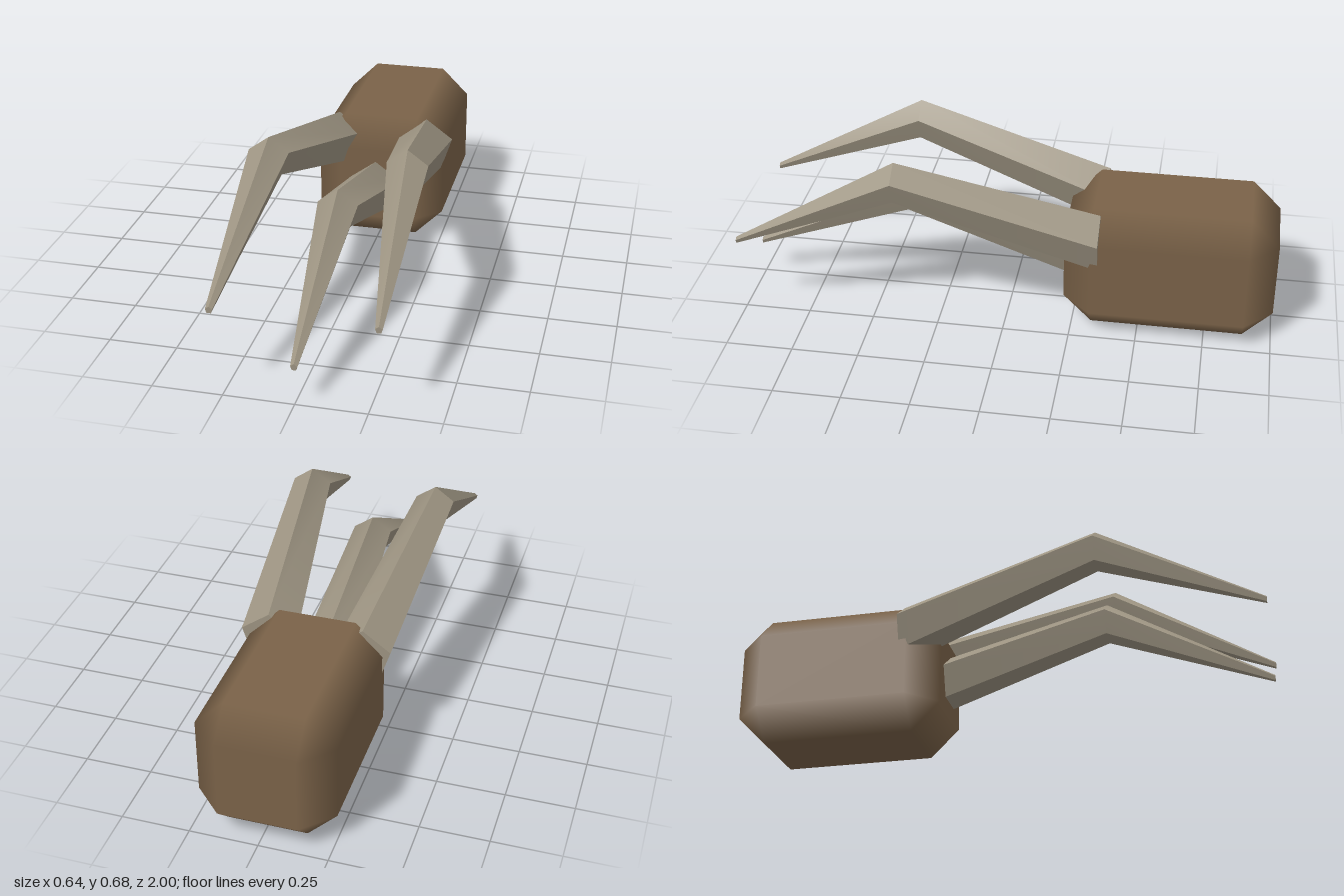
import * as THREE from 'three';
import { toCreasedNormals } from 'three/addons/utils/BufferGeometryUtils.js';

// Box with one-step chamfers; normals stay axial so panels look flat and chamfers blend
function chamferedBox(half, bevel) {
  const positions = [], normals = [];
  const corner = (signs, axis) => {
    const p = new THREE.Vector3(), n = new THREE.Vector3();
    for (let i = 0; i < 3; i++) p.setComponent(i, signs[i] * (half[i] - (i === axis ? 0 : bevel)));
    n.setComponent(axis, signs[axis]);
    return { p, n };
  };
  const triangle = (a, b, c) => {
    const facing = b.p.clone().sub(a.p).cross(c.p.clone().sub(a.p));
    const middle = a.p.clone().add(b.p).add(c.p);
    const order = facing.dot(middle) > 0 ? [a, b, c] : [a, c, b];
    for (const q of order) {
      positions.push(...q.p.toArray());
      normals.push(...q.n.toArray());
    }
  };
  const quad = (a, b, c, d) => { triangle(a, b, c); triangle(a, c, d); };
  const signsFor = (axis, s, t, w) => {
    const signs = [0, 0, 0];
    signs[axis] = s;
    signs[(axis + 1) % 3] = t;
    signs[(axis + 2) % 3] = w;
    return signs;
  };
  for (let axis = 0; axis < 3; axis++) {
    const next = (axis + 1) % 3;
    for (const s of [-1, 1]) {
      // flat panel
      quad(...[[-1, -1], [1, -1], [1, 1], [-1, 1]].map(([t, w]) => corner(signsFor(axis, s, t, w), axis)));
      // chamfers towards the next axis
      for (const t of [-1, 1]) {
        const low = signsFor(axis, s, t, -1), high = signsFor(axis, s, t, 1);
        quad(corner(low, axis), corner(high, axis), corner(high, next), corner(low, next));
      }
    }
  }
  // corner triangles
  for (const x of [-1, 1]) for (const y of [-1, 1]) for (const z of [-1, 1]) {
    triangle(...[0, 1, 2].map((axis) => corner([x, y, z], axis)));
  }
  const geometry = new THREE.BufferGeometry();
  geometry.setAttribute('position', new THREE.Float32BufferAttribute(positions, 3));
  geometry.setAttribute('normal', new THREE.Float32BufferAttribute(normals, 3));
  return geometry;
}

// Five-sided tapering claw through rings of [x, y, z, radius], listed from back to front
function clawGeometry(rings) {
  const sides = 5, positions = [], index = [];
  for (const [x, y, z, r] of rings) {
    for (let k = 0; k < sides; k++) {
      const angle = Math.PI / 2 + (k / sides) * Math.PI * 2;
      positions.push(x + r * Math.cos(angle), y + r * Math.sin(angle), z);
    }
  }
  for (let i = 0; i < rings.length - 1; i++) {
    for (let k = 0; k < sides; k++) {
      const a = i * sides + k, b = i * sides + (k + 1) % sides;
      index.push(a, b, b + sides, a, b + sides, a + sides);
    }
  }
  const last = (rings.length - 1) * sides;
  for (let k = 1; k < sides - 1; k++) {
    index.push(0, k + 1, k, last, last + k, last + k + 1);
  }
  const geometry = new THREE.BufferGeometry();
  geometry.setAttribute('position', new THREE.Float32BufferAttribute(positions, 3));
  geometry.setIndex(index);
  return toCreasedNormals(geometry, 0.65);
}

export function createModel() {
  const model = new THREE.Group();
  model.name = 'clawedFoot';

  const hide = new THREE.MeshStandardMaterial({ color: 0x7a6248 });
  hide.name = 'brownHide';
  const horn = new THREE.MeshStandardMaterial({ color: 0x9c9381 });
  horn.name = 'greyHorn';

  // Chunky foot block
  const foot = new THREE.Mesh(chamferedBox([0.25, 0.25, 0.392], 0.107), hide);
  foot.name = 'foot';
  foot.position.set(0, 0.25, -0.608);
  model.add(foot);

  // Three claws: the outer pair sits higher and splays outwards
  const claws = [['rightClaw', -1, 0.178], ['middleClaw', 0, 0], ['leftClaw', 1, 0.178]];
  for (const [name, side, lift] of claws) {
    const claw = new THREE.Mesh(clawGeometry([
      [side * 0.176, 0.202 + lift, -0.35, 0.109],
      [side * 0.249, 0.429 + lift, 0.395, 0.077],
      [side * 0.284, 0.143 + lift, 1, 0.013],
    ]), horn);
    claw.name = name;
    model.add(claw);
  }
  return model;
}
